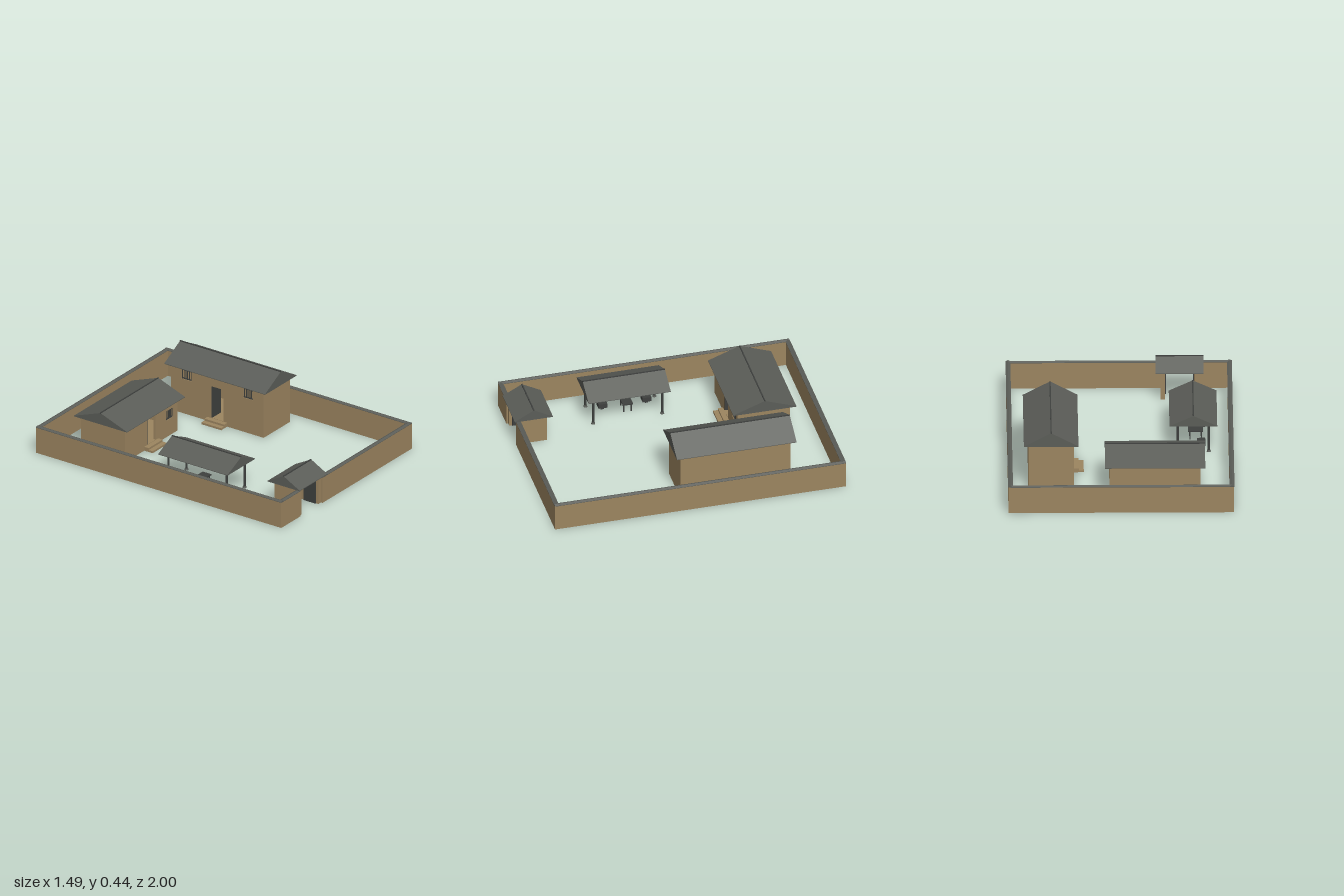
import * as THREE from 'three';

const mat = (name, color) => {
  const m = new THREE.MeshStandardMaterial({ color });
  m.name = name;
  return m;
};

export function createModel() {
  const clay = mat('clay wall', 0x9c8560);
  const tile = mat('grey tile', 0x5b5d58);
  const wood = mat('dark wood', 0x3e403e);
  const root = new THREE.Group();
  root.name = 'courtyard';

  const group = (name, parent = root) => {
    const g = new THREE.Group();
    g.name = name;
    parent.add(g);
    return g;
  };
  const add = (parent, name, geo, m, x = 0, y = 0, z = 0) => {
    const mesh = new THREE.Mesh(geo, m);
    mesh.name = name;
    mesh.position.set(x, y, z);
    parent.add(mesh);
    return mesh;
  };
  // Box given by its bounds
  const box = (parent, name, m, x0, x1, y0, y1, z0, z1) =>
    add(parent, name, new THREE.BoxGeometry(x1 - x0, y1 - y0, z1 - z0), m,
      (x0 + x1) / 2, (y0 + y1) / 2, (z0 + z1) / 2);

  // Gable prism with its ridge along local x, centred on x and z
  const gable = (parent, name, length, depth, y, rise, lip = 0.004) => {
    const s = new THREE.Shape();
    s.moveTo(-depth / 2, 0);
    s.lineTo(depth / 2, 0);
    s.lineTo(depth / 2, lip);
    s.lineTo(0, rise);
    s.lineTo(-depth / 2, lip);
    const geo = new THREE.ExtrudeGeometry(s, { depth: length, bevelEnabled: false });
    geo.translate(0, 0, -length / 2);
    geo.rotateY(Math.PI / 2);
    return add(parent, name, geo, tile, 0, y, 0);
  };
  const roof = (parent, length, depth, y, rise) => {
    gable(parent, 'roof', length, depth, y, rise);
    box(parent, 'ridge', wood, -length / 2, length / 2, y + rise - 0.005, y + rise + 0.003, -0.004, 0.004);
  };

  // Perimeter wall with a tiled coping; the front is open at the gate
  const T = 0.014;
  const H = 0.184;
  const walls = group('perimeterWall');
  const wallRun = (x, z, length, turned) => {
    const g = group('wallRun', walls);
    g.position.set(x, 0, z);
    if (turned) g.rotation.y = Math.PI / 2;
    box(g, 'wall', clay, -length / 2, length / 2, 0, H, -T, T);
    gable(g, 'coping', length, 0.032, H, 0.01, 0.003);
  };
  for (const x of [-0.73, 0.73]) wallRun(x, -0.0075, 1.983, true);
  wallRun(0, -0.985, 1.46, false);
  wallRun(-0.63, 0.97, 0.21, false);
  wallRun(0.2275, 0.97, 1.005, false);

  // Gatehouse with two leaves standing open
  const gate = group('gatehouse');
  gate.position.set(-0.4, 0, 0.87);
  for (const s of [-1, 1]) {
    add(gate, 'sideWall', new THREE.BoxGeometry(0.028, 0.2, 0.2), clay, s * 0.111, 0.1, 0.002);
    add(gate, 'doorLeaf', new THREE.BoxGeometry(0.007, 0.165, 0.095), wood, s * 0.092, 0.083, 0.035);
  }
  box(gate, 'lintel', tile, -0.097, 0.097, 0.168, 0.2, 0.07, 0.092);
  roof(gate, 0.315, 0.26, 0.2, 0.074);

  // Hollow house facing local +z: doorway, windows, steps, leaf opened inward
  const house = (name, w, d, h, length, depth, rise, windows, doorTop, winY) => {
    const g = group(name);
    const t = 0.018;
    const floor = 0.03;
    const doorHalf = 0.05;
    const winHalf = 0.04;
    const face = new THREE.Shape();
    face.moveTo(-w / 2, 0);
    face.lineTo(w / 2, 0);
    face.lineTo(w / 2, h);
    face.lineTo(-w / 2, h);
    const hole = (x0, x1, y0, y1) => {
      const p = new THREE.Path();
      p.moveTo(x0, y0);
      p.lineTo(x0, y1);
      p.lineTo(x1, y1);
      p.lineTo(x1, y0);
      face.holes.push(p);
    };
    hole(-doorHalf, doorHalf, floor, doorTop);
    for (const x of windows) hole(x - winHalf, x + winHalf, winY, winY + 0.068);
    add(g, 'frontWall', new THREE.ExtrudeGeometry(face, { depth: t, bevelEnabled: false }), clay, 0, 0, d / 2 - t);
    box(g, 'backWall', clay, -w / 2, w / 2, 0, h, -d / 2, -d / 2 + t);
    for (const s of [-1, 1])
      add(g, 'endWall', new THREE.BoxGeometry(t, h, d - 2 * t), clay, s * (w - t) / 2, h / 2, 0);
    box(g, 'floor', clay, -w / 2 + t, w / 2 - t, 0, floor, -d / 2 + t, d / 2 - t);
    box(g, 'doorLeaf', wood, -doorHalf, -doorHalf + 0.007, floor, doorTop, d / 2 - 0.1, d / 2 - 0.002);
    for (const x of windows) {
      const z = d / 2 - t / 2;
      for (const y of [winY, winY + 0.062])
        box(g, 'windowRail', wood, x - winHalf, x + winHalf, y, y + 0.006, z - 0.004, z + 0.004);
      for (let i = 0; i < 5; i++) {
        const bx = x - winHalf + 0.003 + i * (winHalf * 2 - 0.006) / 4;
        box(g, 'windowBar', wood, bx - 0.003, bx + 0.003, winY, winY + 0.068, z - 0.003, z + 0.003);
      }
    }
    box(g, 'upperStep', clay, -0.08, 0.08, 0, 0.028, d / 2, d / 2 + 0.035);
    box(g, 'lowerStep', clay, -0.08, 0.08, 0, 0.014, d / 2 + 0.035, d / 2 + 0.068);
    roof(g, length, depth, h, rise);
    return g;
  };
  const hall = house('hall', 0.6, 0.355, 0.24, 0.66, 0.43, 0.083, [0.21], 0.21, 0.12);
  hall.position.set(-0.225, 0, -0.613);
  const tall = house('tallHouse', 0.75, 0.3, 0.335, 0.815, 0.36, 0.1, [-0.25, 0.25], 0.26, 0.25);
  tall.position.set(0.46, 0, -0.282);
  tall.rotation.y = -Math.PI / 2;

  // Open pavilion on four posts
  const pav = group('pavilion');
  pav.position.set(-0.483, 0, 0.195);
  pav.rotation.y = Math.PI / 2;
  roof(pav, 0.56, 0.315, 0.2, 0.077);
  const post = new THREE.CylinderGeometry(0.008, 0.008, 0.2, 10);
  const base = new THREE.CylinderGeometry(0.011, 0.014, 0.012, 10);
  for (const x of [-0.235, 0.235]) {
    for (const z of [-0.102, 0.102]) {
      add(pav, 'post', post, wood, x, 0.1, z);
      add(pav, 'postBase', base, tile, x, 0.006, z);
    }
    box(pav, 'crossBeam', wood, x - 0.006, x + 0.006, 0.186, 0.2, -0.11, 0.11);
  }
  for (const z of [-0.102, 0.102])
    box(pav, 'longBeam', wood, -0.25, 0.25, 0.186, 0.2, z - 0.006, z + 0.006);

  // Table and two block seats under the pavilion
  const table = group('table');
  table.position.set(-0.5, 0, 0.175);
  add(table, 'tableTop', new THREE.BoxGeometry(0.1, 0.008, 0.07), wood, 0, 0.06, 0);
  for (const x of [-0.038, 0.038])
    for (const z of [-0.026, 0.026])
      add(table, 'tableLeg', new THREE.BoxGeometry(0.008, 0.056, 0.008), wood, x, 0.028, z);
  for (const z of [0.33, 0.03]) {
    const seat = group('seat');
    seat.position.set(-0.535, 0, z);
    add(seat, 'seatBlock', new THREE.BoxGeometry(0.055, 0.032, 0.06), wood, 0, 0.036, 0);
    add(seat, 'seatFoot', new THREE.BoxGeometry(0.02, 0.02, 0.02), wood, 0, 0.01, 0);
  }
  return root;
}
